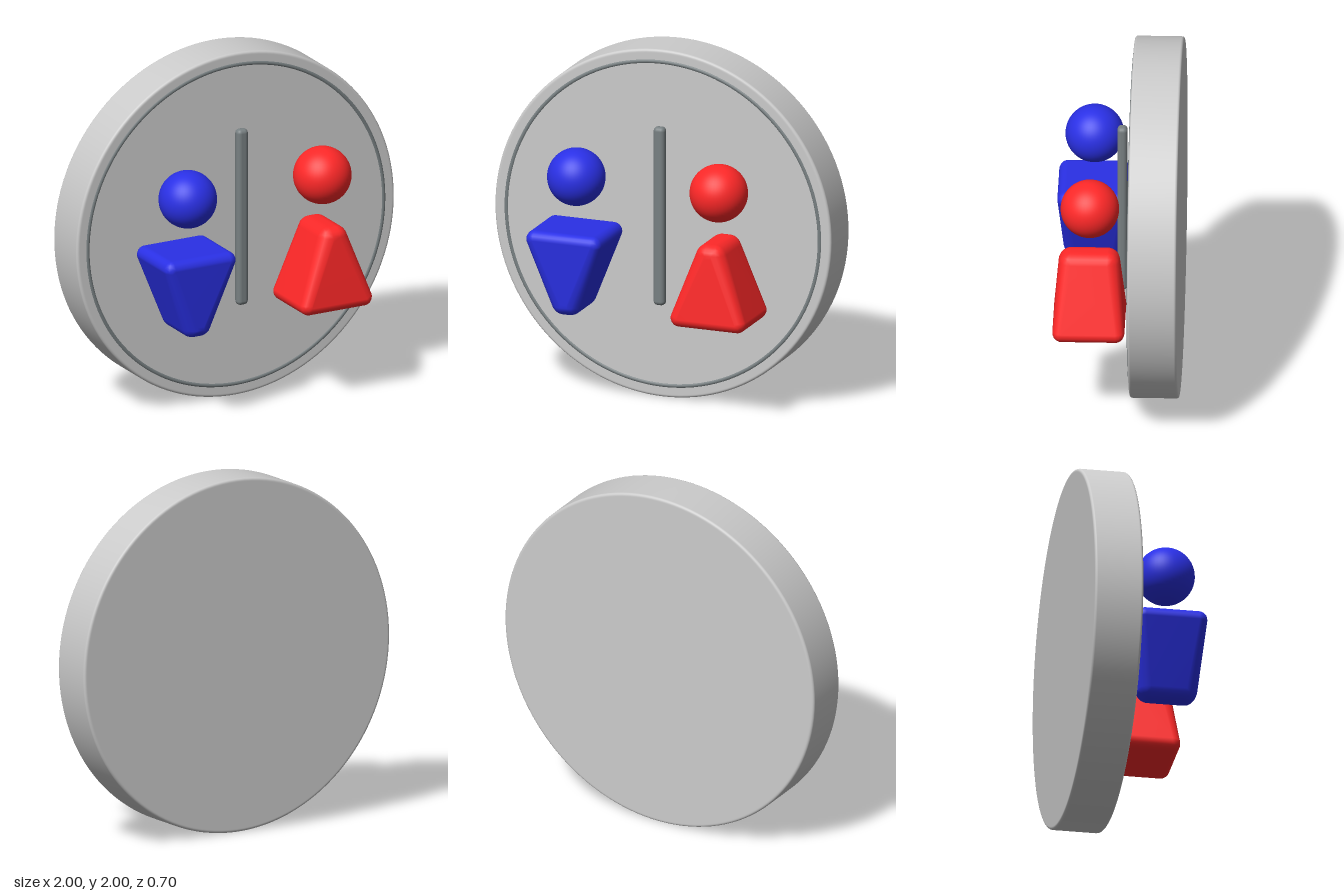
import * as THREE from 'three';
import { mergeVertices } from 'three/addons/utils/BufferGeometryUtils.js';
import { ConvexGeometry } from 'three/addons/geometries/ConvexGeometry.js';
import { RoundedBoxGeometry } from 'three/addons/geometries/RoundedBoxGeometry.js';

const material = (color) => new THREE.MeshStandardMaterial({ color });

// Rounded tapered block: hull of eight corner spheres, four per end.
// Each end is { y, x, z, r }: centre height, half spacing in x and z, corner radius.
function taperedBlock(ends) {
  const points = [];
  for (const { y, x, z, r } of ends) {
    const ball = new THREE.SphereGeometry(r, 16, 12).attributes.position;
    for (const sx of [-1, 1]) for (const sz of [-1, 1]) {
      for (let i = 0; i < ball.count; i++) {
        const p = new THREE.Vector3().fromBufferAttribute(ball, i);
        points.push(p.add(new THREE.Vector3(sx * x, y, sz * z)));
      }
    }
  }
  // Shared vertices give area-weighted normals: flat sides, soft edges.
  let geometry = new ConvexGeometry(points);
  geometry.deleteAttribute('normal');
  geometry = mergeVertices(geometry, 1e-5);
  geometry.computeVertexNormals();
  return geometry;
}

// Disc profile with a small rounded bevel on both rims, turned about z.
function discGeometry(radius, back, front, bevel) {
  const profile = [new THREE.Vector2(0, back), new THREE.Vector2(radius - bevel - 0.005, back)];
  for (const [y, start] of [[back + bevel, -Math.PI / 2], [front - bevel, 0]]) {
    for (let i = 0; i <= 5; i++) {
      const a = start + (i / 5) * Math.PI / 2;
      profile.push(new THREE.Vector2(radius - bevel + bevel * Math.cos(a), y + bevel * Math.sin(a)));
    }
  }
  profile.push(new THREE.Vector2(radius - bevel - 0.005, front), new THREE.Vector2(0, front));
  return new THREE.LatheGeometry(profile, 128).rotateX(Math.PI / 2);
}

export function createModel() {
  const model = new THREE.Group();
  model.name = 'restroomSign';

  const add = (parent, name, geometry, mat, x, y, z) => {
    const mesh = new THREE.Mesh(geometry, mat);
    mesh.name = name;
    mesh.position.set(x, y, z);
    parent.add(mesh);
  };

  // Round backing plate and its thin inlaid ring
  const darkGrey = material(0x788082);
  add(model, 'backingDisc', discGeometry(1, -0.35, -0.078, 0.015), material(0xcccccc), 0, 1, 0);
  add(model, 'inlaidRing', new THREE.TorusGeometry(0.931, 0.014, 12, 128), darkGrey, 0, 1, -0.087);

  // Upright divider between the figures
  add(model, 'dividerBar', new RoundedBoxGeometry(0.068, 1.027, 0.056, 4, 0.024), darkGrey, 0.005, 1.062, -0.022);

  // Two figures: ball head over a tapered body, one the other way up
  const wide = { x: 0.172, z: 0.149, r: 0.05 };
  const narrow = { x: 0.02, z: 0.1, r: 0.07 };
  const figures = [
    { name: 'blueFigure', color: 0x2a30e6, x: -0.425, top: { ...wide, y: 0.95 }, bottom: { ...narrow, y: 0.59 }, shift: -0.011 },
    { name: 'redFigure', color: 0xff2828, x: 0.422, top: { ...narrow, y: 0.95 }, bottom: { ...wide, y: 0.592 }, shift: 0 },
  ];
  for (const { name, color, x, top, bottom, shift } of figures) {
    const figure = new THREE.Group();
    figure.name = name;
    figure.position.x = x;
    const mat = material(color);
    add(figure, 'head', new THREE.SphereGeometry(0.162, 48, 32), mat, 0, 1.286, 0.145);
    add(figure, 'body', taperedBlock([top, bottom]), mat, shift, 0, 0.148);
    model.add(figure);
  }
  return model;
}
